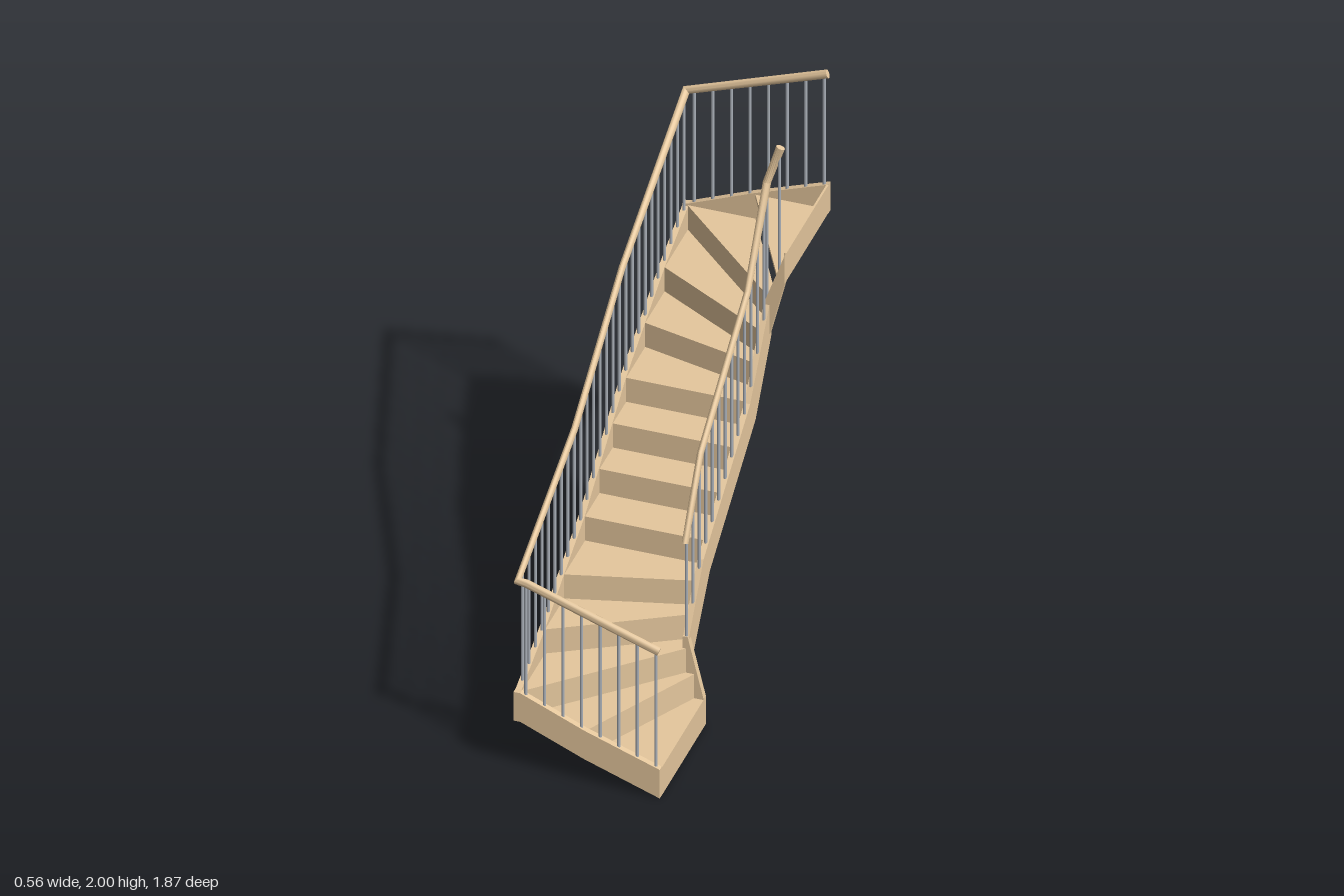
import * as THREE from 'three';
import { toCreasedNormals } from 'three/addons/utils/BufferGeometryUtils.js';

const wood = new THREE.MeshStandardMaterial({ color: 0xe5c79d });
wood.name = 'paleWood';
const steel = new THREE.MeshStandardMaterial({ color: 0xaab0b8 });
steel.name = 'steel';

const RISE = 0.106, TREAD = 0.016, RISER = 0.008;

function add(parent, name, geometry, material) {
  const mesh = new THREE.Mesh(geometry, material);
  mesh.name = name;
  parent.add(mesh);
  return mesh;
}

function extrude(points, depth) {
  const shape = new THREE.Shape(points.map(([a, b]) => new THREE.Vector2(a, b)));
  return new THREE.ExtrudeGeometry(shape, { depth, bevelEnabled: false });
}

// Plan outline [x, z] raised from y0 to y1
const slab = (plan, y0, y1) =>
  extrude(plan.map(([x, z]) => [x, -z]), y1 - y0).rotateX(-Math.PI / 2).translate(0, y0, 0);

// Side outline [z, y] between x0 and x1
const sidePlate = (pts, x0, x1) =>
  extrude(pts.map(([z, y]) => [-z, y]), x1 - x0).rotateY(Math.PI / 2).translate(x0, 0, 0);

// Front outline [x, y] between z0 and z1
const frontPlate = (pts, z0, z1) => extrude(pts, z1 - z0).translate(0, 0, z0);

// Band of constant height hanging below a top edge
const band = (top, drop) => [...top, ...top.map(([a, y]) => [a, y - drop]).reverse()];

// Height on a polyline of [position, y], clamped at its ends
function heightAt(line, p) {
  for (let i = 0; i < line.length - 1; i++) {
    const [a, ya] = line[i], [b, yb] = line[i + 1];
    if ((p - a) * (p - b) <= 0) return ya + (yb - ya) * (p - a) / (b - a);
  }
  const first = line[0], last = line[line.length - 1];
  return Math.abs(p - first[0]) < Math.abs(p - last[0]) ? first[1] : last[1];
}

// Oval handrail swept along a polyline with mitred corners
function railGeometry(path, rx, ry) {
  const N = 14, pts = path.map(p => new THREE.Vector3(...p)), pos = [], idx = [];
  const flat = v => new THREE.Vector3(v.x, 0, v.z).normalize();
  pts.forEach((p, i) => {
    const d1 = p.clone().sub(pts[Math.max(i - 1, 0)]).normalize();
    const d2 = pts[Math.min(i + 1, pts.length - 1)].clone().sub(p).normalize();
    const t = d1.clone().add(d2).normalize();
    const right = new THREE.Vector3(-t.z, 0, t.x).normalize();
    const up = right.clone().cross(t);
    const mitre = 1 / flat(t).dot(flat(i ? d1 : d2));
    for (let j = 0; j < N; j++) {
      const a = j / N * Math.PI * 2;
      const v = p.clone().addScaledVector(right, rx * mitre * Math.cos(a)).addScaledVector(up, ry * Math.sin(a));
      pos.push(v.x, v.y, v.z);
    }
  });
  const last = (pts.length - 1) * N;
  for (let i = 0; i < pts.length - 1; i++) {
    for (let j = 0; j < N; j++) {
      const a = i * N + j, b = i * N + (j + 1) % N;
      idx.push(a, a + N, b, b, a + N, b + N);
    }
  }
  for (let j = 1; j < N - 1; j++) idx.push(0, j, j + 1, last, last + j + 1, last + j);
  const g = new THREE.BufferGeometry();
  g.setAttribute('position', new THREE.Float32BufferAttribute(pos, 3));
  g.setIndex(idx);
  return toCreasedNormals(g, 0.6);
}

export function createModel() {
  const model = new THREE.Group();
  model.name = 'windingStaircase';

  // Riser lines in plan: [outer x, outer z, inner x, inner z]
  const lines = [
    [0.281, 0.912, 0.281, 0.45], [0, 0.912, 0.245, 0.455], [-0.265, 0.915, 0.215, 0.453],
    [-0.265, 0.658, 0.205, 0.39], [-0.265, 0.447, 0.205, 0.325],
    [-0.265, 0.216, 0.205, 0.216], [-0.265, 0.058, 0.205, 0.058],
    [-0.265, -0.087, 0.205, -0.087], [-0.265, -0.233, 0.205, -0.233],
    [-0.265, -0.443, 0.205, -0.33], [-0.265, -0.658, 0.205, -0.388],
    [-0.265, -0.915, 0.215, -0.453], [0, -0.912, 0.243, -0.455], [0.281, -0.912, 0.281, -0.45],
  ];

  // Treads and risers; the thirteenth step is open below
  const steps = new THREE.Group();
  steps.name = 'steps';
  model.add(steps);
  lines.forEach(([ox, oz, ix, iz], k) => {
    const next = lines[k + 1];
    if (next) {
      const y = RISE * (k + 1);
      add(steps, 'tread', slab([[ox, oz], [ix, iz], [next[2], next[3]], [next[0], next[1]]], y, y + TREAD), wood);
    }
    if (k === 12) return;
    const s = (next ? RISER : -RISER) / Math.hypot(ix - ox, iz - oz);
    const fx = (iz - oz) * s, fz = (ox - ix) * s;
    add(steps, 'riser', slab([[ox, oz], [ix, iz], [ix + fx, iz + fz], [ox + fx, oz + fz]],
      RISE * k, RISE * (k + 1) + TREAD), wood);
  });

  // Outer stringers follow the step edges
  const wallTop = [[0.934, 0.342], [0.91, 0.342], [0.658, 0.44], [0.447, 0.546], [0.216, 0.658], [-0.233, 0.973],
    [-0.443, 1.078], [-0.658, 1.184], [-0.934, 1.292]];
  const frontTop = [[-0.281, 0.342], [-0.255, 0.342], [-0.01, 0.234], [0.281, 0.127]];
  const backTop = [[-0.281, 1.292], [-0.255, 1.296], [-0.01, 1.397], [0.281, 1.502]];
  add(model, 'outerStringer', sidePlate(band(wallTop, 0.126), -0.281, -0.258), wood);
  add(model, 'frontStringer', frontPlate(band(frontTop, 0.126), 0.911, 0.934), wood);
  add(model, 'backStringer', frontPlate(band(backTop, 0.126), -0.934, -0.911), wood);

  // Inner stringer with short returns at both ends
  const innerTop = [[0.455, 0.37], [0.29, 0.62], [-0.22, 0.972], [-0.43, 1.272], [-0.455, 1.28]];
  add(model, 'innerStringer', sidePlate([...innerTop,
    [-0.455, 1.13], [-0.28, 0.866], [0.22, 0.526], [0.43, 0.24], [0.455, 0.2]], 0.2, 0.223), wood);
  add(model, 'lowerReturn', frontPlate(
    [[0.2, 0], [0.281, 0], [0.281, 0.127], [0.22, 0.385], [0.2, 0.385]], 0.43, 0.455), wood);
  add(model, 'upperReturn', frontPlate(
    [[0.2, 1.09], [0.22, 1.13], [0.281, 1.378], [0.281, 1.502], [0.2, 1.272]], -0.455, -0.43), wood);

  // Handrails
  const X = -0.269, Z = 0.921, XI = 0.212, ZI = -0.436;
  const outerRail = [[0.274, 0.638, Z], [-0.235, 0.822, Z], [X, 0.826, Z], [X, 1.09, 0.3], [X, 1.462, -0.22],
    [X, 1.787, -Z], [0.275, 1.983, -Z]];
  const innerRail = [[XI, 0.8, 0.46], [XI, 1.087, 0.295], [XI, 1.462, -0.22], [XI, 1.81, ZI], [0.264, 1.973, ZI]];
  add(model, 'outerHandrail', railGeometry(outerRail, 0.012, 0.018), wood);
  add(model, 'innerHandrail', railGeometry(innerRail, 0.012, 0.017), wood);

  // Balusters between stringers and rails
  const balusters = new THREE.Group();
  balusters.name = 'balusters';
  model.add(balusters);
  const rod = new THREE.CylinderGeometry(0.006, 0.006, 1, 12);
  function baluster(x, z, y0, y1) {
    const m = add(balusters, 'baluster', rod, steel);
    m.scale.y = y1 - y0 + 0.01;
    m.position.set(x, (y0 + y1) / 2 - 0.005, z);
  }
  const alongZ = rail => rail.map(([, y, z]) => [z, y]);
  const alongX = rail => rail.map(([x, y]) => [x, y]);
  const wallRail = alongZ(outerRail.slice(2, 6)), innerRailZ = alongZ(innerRail.slice(0, 4));
  const frontRail = alongX(outerRail.slice(0, 3)), backRail = alongX(outerRail.slice(5));
  for (let i = 0; i < 26; i++) {
    const z = 0.869 - 0.0706 * i;
    baluster(X, z, heightAt(wallTop, z), heightAt(wallRail, z));
  }
  for (let i = 0; i < 8; i++) {
    const x = -0.238 + 0.0714 * i;
    baluster(x, Z, heightAt(frontTop, x), heightAt(frontRail, x));
    baluster(x, -Z, heightAt(backTop, x), heightAt(backRail, x));
  }
  for (let i = 0; i < 13; i++) {
    const z = 0.4454 - 0.0706 * i;
    baluster(XI, z, heightAt(innerTop, z), heightAt(innerRailZ, z));
  }
  baluster(XI, ZI, 1.27, 1.81);
  baluster(0.26, ZI, 1.44, 1.95);

  return model;
}
